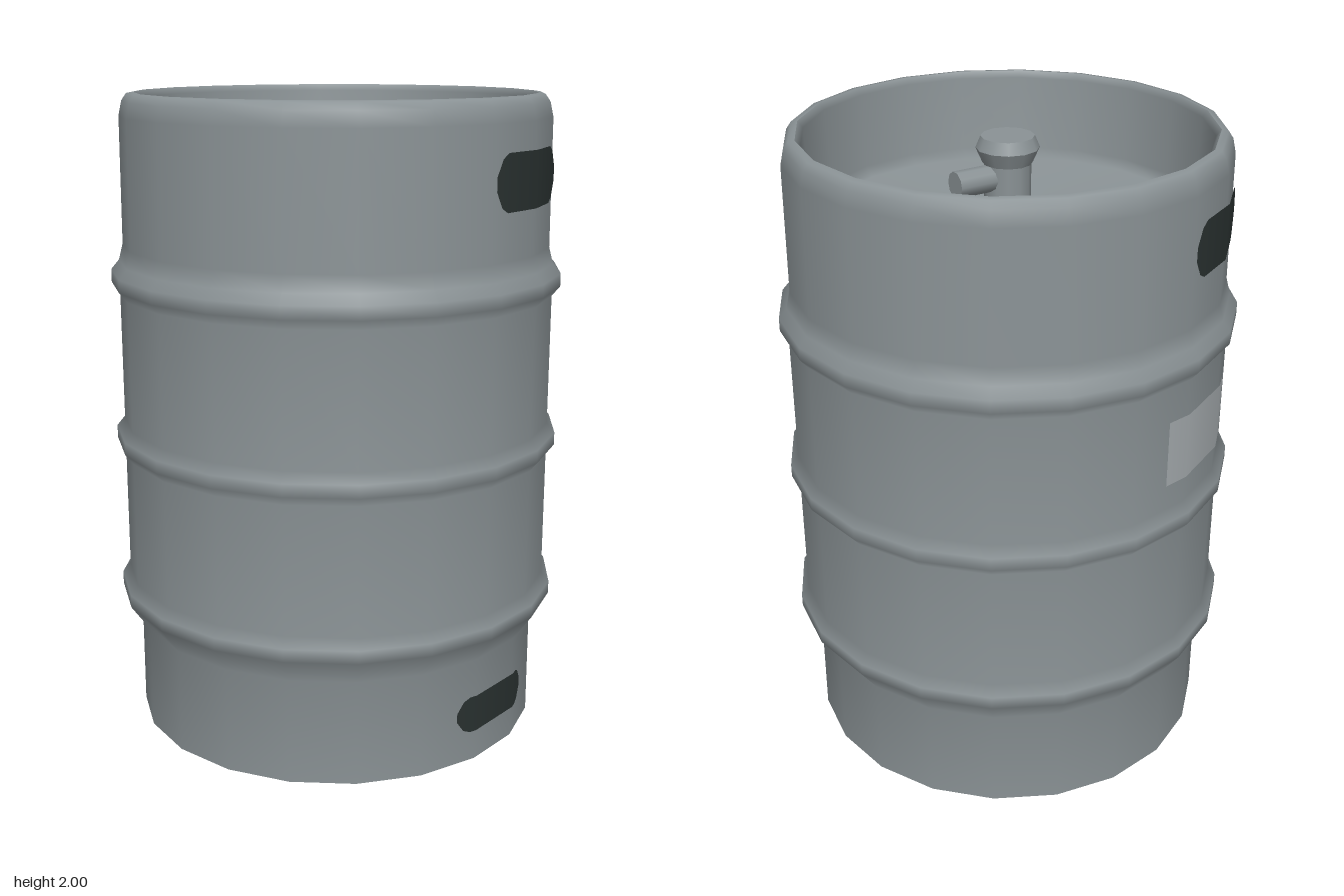
import * as THREE from 'three';

const SIDES = 20;
const STEP = (Math.PI * 2) / SIDES;
const deg = THREE.MathUtils.degToRad;

export function createModel() {
  const keg = new THREE.Group();
  keg.name = 'keg';

  const material = (name, color, side = THREE.FrontSide) => {
    const m = new THREE.MeshStandardMaterial({ color, side });
    m.name = name;
    return m;
  };
  const steel = material('steel', 0x8a9295, THREE.DoubleSide);
  const dark = material('dark slot', 0x2a3231);
  const pale = material('pale label', 0xa6acaf);

  const add = (name, geometry, mat = steel, parent = keg) => {
    const mesh = new THREE.Mesh(geometry, mat);
    mesh.name = name;
    parent.add(mesh);
    return mesh;
  };
  const lathe = (profile, sides) =>
    new THREE.LatheGeometry(profile.map(([r, y]) => new THREE.Vector2(r, y)), sides);

  // Outer shell: skirt, three ribs, upper collar and rolled rim
  const rib = (y) => [[0.68, y - 0.05], [0.705, y - 0.02], [0.705, y + 0.02], [0.68, y + 0.05]];
  add('shell', lathe([
    [0.645, 0], [0.645, 0.33],
    ...rib(0.435).slice(1), ...rib(0.935), ...rib(1.44),
    [0.667, 1.54], [0.665, 1.93], [0.655, 1.975], [0.64, 1.997], [0.62, 2],
  ], SIDES));

  // Recessed top: inner wall and dished lid
  add('innerCollar', lathe([[0.62, 2], [0.605, 1.98], [0.595, 1.75], [0.57, 1.72], [0, 1.67]], SIDES));

  // Hollow foot: recessed base, inner wall and lower edge
  add('base', lathe([[0, 0.35], [0.64, 0.35]], SIDES));
  add('footInside', lathe([[0.64, 0.35], [0.64, 0]], SIDES));
  add('footEdge', lathe([[0.64, 0], [0.645, 0]], SIDES));

  // Tap fitting in the middle of the lid
  const tap = new THREE.Group();
  tap.name = 'tap';
  keg.add(tap);
  const cylinder = (name, top, bottom, y0, y1, sides = 12) => {
    const mesh = add(name, new THREE.CylinderGeometry(top, bottom, y1 - y0, sides), steel, tap);
    mesh.position.y = (y0 + y1) / 2;
    return mesh;
  };
  cylinder('tapFlange', 0.15, 0.16, 1.66, 1.71);
  cylinder('tapStem', 0.07, 0.07, 1.69, 1.92);
  cylinder('tapHeadLower', 0.095, 0.075, 1.89, 1.935);
  cylinder('tapHeadUpper', 0.08, 0.095, 1.935, 1.97);
  const spout = add('tapSpout', new THREE.CylinderGeometry(0.04, 0.04, 0.14, 10), steel, tap);
  spout.rotation.z = Math.PI / 2;
  spout.position.set(0.11, 1.85, 0);

  // Thin patch that follows the faceted shell; outline gives half height at -1..1
  const patch = (name, mat, radius, angle, halfAngle, y, halfHeight, outline) => {
    const start = deg(angle - halfAngle), span = deg(halfAngle * 2);
    const stops = outline.map(([t]) => (t + 1) / 2);
    for (let i = 0; i < SIDES; i++) {
      const t = (i * STEP - start) / span;
      if (t > 0 && t < 1) stops.push(t);
    }
    stops.sort((a, b) => a - b);
    const heightAt = (t) => {
      const u = t * 2 - 1;
      let k = 1;
      while (k < outline.length - 1 && outline[k][0] < u) k++;
      const [u0, h0] = outline[k - 1], [u1, h1] = outline[k];
      return halfHeight * THREE.MathUtils.lerp(h0, h1, (u - u0) / (u1 - u0));
    };
    const positions = [], normals = [], index = [];
    stops.forEach((t, i) => {
      const a = start + span * t;
      const r = (radius + 0.006) * Math.cos(STEP / 2) / Math.cos((a % STEP) - STEP / 2);
      const h = heightAt(t);
      for (const s of [-1, 1]) {
        positions.push(r * Math.sin(a), y + s * h, r * Math.cos(a));
        normals.push(Math.sin(a), 0, Math.cos(a));
      }
      if (i) {
        const p = i * 2 - 2;
        index.push(p, p + 2, p + 1, p + 2, p + 3, p + 1);
      }
    });
    const g = new THREE.BufferGeometry();
    g.setAttribute('position', new THREE.Float32BufferAttribute(positions, 3));
    g.setAttribute('normal', new THREE.Float32BufferAttribute(normals, 3));
    g.setIndex(index);
    return add(name, g, mat);
  };
  const slot = [[-1, 0.25], [-0.86, 0.82], [-0.72, 1], [0.72, 1], [0.86, 0.82], [1, 0.25]];
  const rect = [[-1, 1], [1, 1]];

  // Hand slots, drain slot and label
  patch('frontHandSlot', dark, 0.667, 36, 17.7, 1.765, 0.084, slot);
  patch('backHandSlot', dark, 0.667, 216, 17.7, 1.765, 0.084, slot);
  patch('drainSlot', dark, 0.645, 27, 15.5, 0.155, 0.058, slot);
  patch('label', pale, 0.68, 207.5, 16.5, 1.175, 0.105, rect);

  return keg;
}
